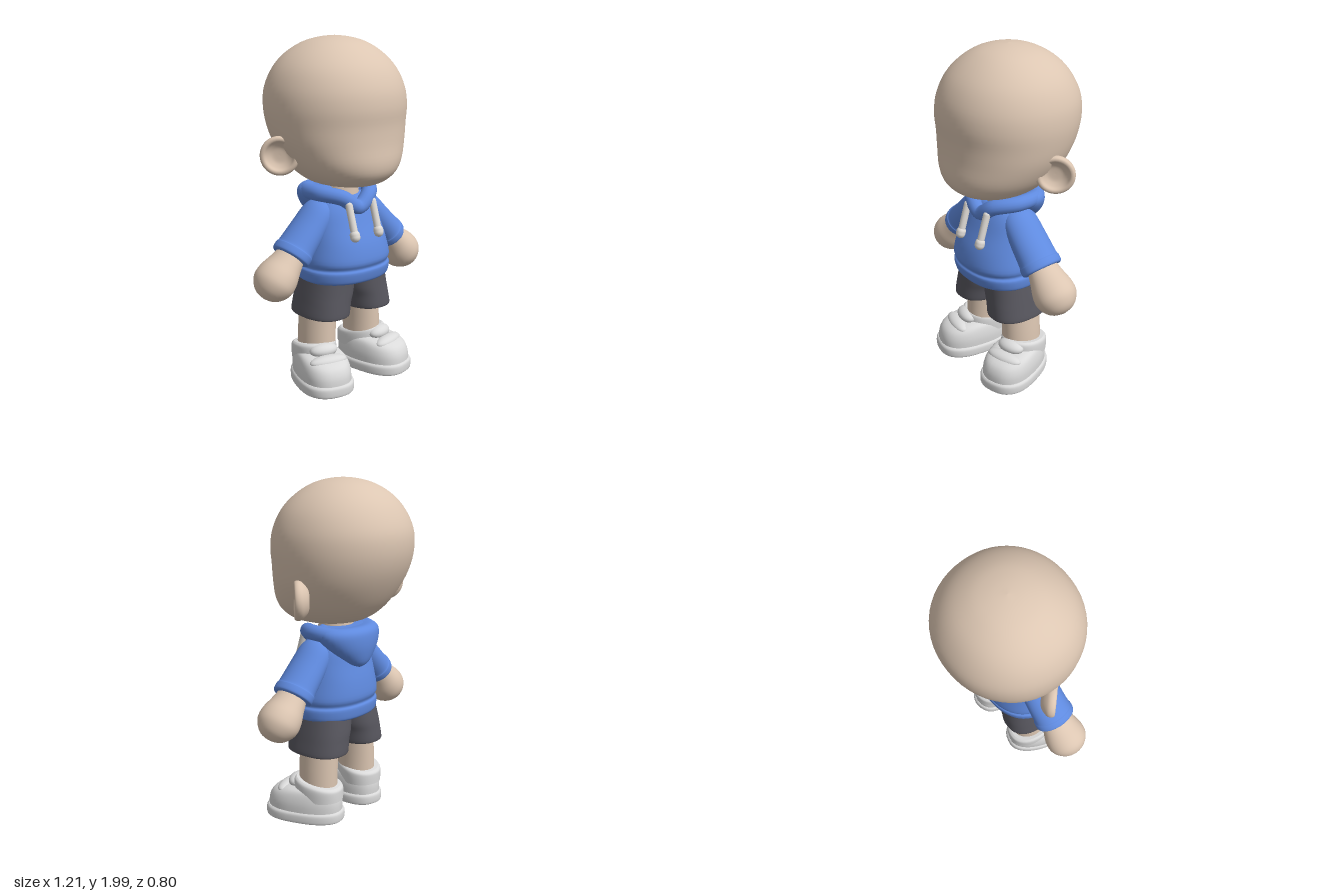
import * as THREE from 'three';

const mat = (name, color) => {
  const m = new THREE.MeshStandardMaterial({ color });
  m.name = name;
  return m;
};

// Smooth loft through rows [y, centreX, centreZ, radiusX, radiusZ, tilt];
// n squares the outline, taper widens the front (+z)
function loft(rows, { n = 2, taper = 0, seg = 40, sub = 4 } = {}) {
  rows = rows.map((r) => [...r, 0].slice(0, 6));
  const rings = [];
  const at = (i) => rows[Math.max(0, Math.min(rows.length - 1, i))];
  for (let i = 0; i < rows.length - 1; i++) {
    const [a, b, c, d] = [at(i - 1), at(i), at(i + 1), at(i + 2)];
    for (let s = 0; s < sub; s++) {
      const t = s / sub;
      rings.push(b.map((_, k) => b[k] + 0.5 * t * (c[k] - a[k]
        + t * (2 * a[k] - 5 * b[k] + 4 * c[k] - d[k] + t * (3 * (b[k] - c[k]) + d[k] - a[k])))));
    }
  }
  rings.push(at(rows.length - 1));
  const pos = [], idx = [];
  const pw = (v) => Math.sign(v) * Math.abs(v) ** (2 / n);
  const addRing = ([y, cx, cz, rx, rz, tilt]) => {
    for (let j = 0; j < seg; j++) {
      const a = (j / seg) * Math.PI * 2, c = pw(Math.cos(a)), s = pw(Math.sin(a));
      pos.push(cx + rx * c * (1 + taper * s), y + tilt * s, cz + rz * s);
    }
  };
  rings.forEach(addRing);
  for (let i = 0; i < rings.length - 1; i++) {
    for (let j = 0; j < seg; j++) {
      const a = i * seg + j, b = i * seg + (j + 1) % seg;
      idx.push(a, a + seg, b, b, a + seg, b + seg);
    }
  }
  // flat end caps with their own vertices
  [rings[0], rings[rings.length - 1]].forEach((r, e) => {
    const base = pos.length / 3;
    addRing(r);
    pos.push(r[1], r[0], r[2]);
    for (let j = 0; j < seg; j++) {
      const a = base + j, b = base + (j + 1) % seg;
      idx.push(...(e ? [b, a, base + seg] : [a, b, base + seg]));
    }
  });
  const g = new THREE.BufferGeometry();
  g.setAttribute('position', new THREE.Float32BufferAttribute(pos, 3));
  g.setIndex(idx);
  g.computeVertexNormals();
  return g;
}

export function createModel() {
  const model = new THREE.Group();
  const skin = mat('skin', 0xdcc6b2);
  const blue = mat('hoodie blue', 0x5f8adf);
  const dark = mat('shorts grey', 0x58575f);
  const white = mat('shoe white', 0xdadada);
  const cord = mat('cord white', 0xdfdbd6);

  const add = (parent, name, geo, material, x = 0, y = 0, z = 0) => {
    const m = new THREE.Mesh(geo, material);
    m.name = name;
    m.position.set(x, y, z);
    parent.add(m);
    return m;
  };
  const group = (parent, name, x, y, z) => {
    const g = new THREE.Group();
    g.name = name;
    g.position.set(x, y, z);
    parent.add(g);
    return g;
  };

  // Head and neck
  add(model, 'head', loft([
    [1.172, 0, 0.11, 0.001, 0.001], [1.178, 0, 0.11, 0.12, 0.14], [1.2, 0, 0.1, 0.205, 0.225],
    [1.25, 0, 0.088, 0.275, 0.293], [1.32, 0, 0.065, 0.33, 0.335], [1.42, 0, 0.03, 0.376, 0.364],
    [1.52, 0, 0.007, 0.398, 0.386], [1.62, 0, 0, 0.406, 0.4], [1.72, 0, -0.004, 0.393, 0.389],
    [1.82, 0, -0.005, 0.35, 0.342], [1.9, 0, -0.008, 0.28, 0.272], [1.96, 0, -0.006, 0.187, 0.182],
    [1.99, 0, -0.005, 0.09, 0.09], [2.0, 0, -0.005, 0.001, 0.001],
  ], { n: 2.08, seg: 56 }), skin);
  add(model, 'neck', new THREE.CylinderGeometry(0.1, 0.11, 0.2, 32), skin, 0, 1.13, 0.05);

  // Hoodie body with a gathered hem
  add(model, 'hoodieBody', loft([
    [0.63, 0, 0.07, 0.265, 0.215], [0.645, 0, 0.072, 0.277, 0.226], [0.695, 0, 0.075, 0.28, 0.234],
    [0.715, 0, 0.075, 0.266, 0.224], [0.755, 0, 0.075, 0.275, 0.238], [0.85, 0, 0.07, 0.256, 0.222],
    [0.95, 0, 0.06, 0.237, 0.188], [1.04, 0, 0.05, 0.215, 0.16], [1.1, 0, 0.045, 0.165, 0.13],
    [1.12, 0, 0.04, 0.1, 0.1],
  ], { n: 2.25 }), blue);

  // Hood hanging behind, and the rolled collar around the neck
  add(model, 'hood', loft([
    [0.925, 0, -0.12, 0.01, 0.01], [0.955, 0, -0.11, 0.075, 0.06], [1.03, 0, -0.075, 0.165, 0.115],
    [1.1, 0, -0.045, 0.215, 0.148], [1.145, 0, -0.035, 0.215, 0.148], [1.168, 0, -0.03, 0.18, 0.12],
    [1.165, 0, -0.02, 0.13, 0.08],
  ]), blue);
  const collar = [[0, 1.05, 0.2], [0.1, 1.112, 0.18], [0.18, 1.133, 0.07], [0.15, 1.125, -0.08],
    [0, 1.115, -0.13], [-0.15, 1.125, -0.08], [-0.18, 1.133, 0.07], [-0.1, 1.112, 0.18]];
  add(model, 'collar', new THREE.TubeGeometry(
    new THREE.CatmullRomCurve3(collar.map((p) => new THREE.Vector3(...p)), true), 80, 0.045, 16, true), blue);

  // Paired parts, built on the left and mirrored
  for (const s of [1, -1]) {
    const half = group(model, s > 0 ? 'leftSide' : 'rightSide', 0, 0, 0);
    half.scale.x = s;

    // Cupped ear turned outward and forward
    const ear = group(half, 'ear', 0.382, 1.36, -0.02);
    ear.rotation.set(0, Math.PI / 4, -0.15, 'YXZ');
    const profile = [[0.001, -0.05], [0.06, -0.045], [0.1, -0.015], [0.11, 0.01], [0.103, 0.03],
      [0.085, 0.032], [0.068, 0.015], [0.04, 0.0], [0.001, -0.003]].map((p) => new THREE.Vector2(...p));
    const cup = new THREE.LatheGeometry(new THREE.SplineCurve(profile).getPoints(32), 36);
    cup.rotateX(Math.PI / 2);
    add(ear, 'earCup', cup, skin);

    // Arm hanging outward: sleeve, cuff roll, forearm with mitten hand
    const arm = group(half, 'arm', 0.17, 1.02, 0.055);
    arm.rotation.z = 0.75;
    add(arm, 'sleeve', loft([
      [-0.31, 0, 0, 0.092, 0.115], [-0.3, 0, 0, 0.103, 0.125], [-0.265, 0, 0, 0.104, 0.126],
      [-0.245, 0, 0, 0.098, 0.12], [-0.12, 0, 0, 0.09, 0.115], [0, 0, 0, 0.083, 0.105],
      [0.06, 0, 0, 0.05, 0.07], [0.075, 0, 0, 0.01, 0.01],
    ]), blue);
    add(arm, 'hand', loft([
      [-0.582, 0, 0, 0.001, 0.001], [-0.57, 0, 0, 0.05, 0.055], [-0.54, 0, 0, 0.088, 0.095],
      [-0.49, 0, 0, 0.114, 0.123], [-0.43, 0, 0, 0.113, 0.123], [-0.36, 0, 0, 0.092, 0.105],
      [-0.29, 0, 0, 0.077, 0.09], [-0.2, 0, 0, 0.07, 0.085],
    ]), skin);

    // Shorts leg
    add(half, 'shortsLeg', loft([
      [0.42, 0.16, 0.055, 0.132, 0.182], [0.432, 0.16, 0.055, 0.14, 0.19], [0.5, 0.148, 0.055, 0.14, 0.187],
      [0.56, 0.132, 0.055, 0.145, 0.184], [0.66, 0.115, 0.06, 0.142, 0.175],
    ], { n: 2.35 }), dark);

    // Bare leg
    add(half, 'leg', loft([
      [0.15, 0.18, 0.04, 0.104, 0.122], [0.3, 0.176, 0.04, 0.102, 0.122], [0.46, 0.165, 0.04, 0.1, 0.122],
    ]), skin);

    // Shoe with the toe turned out
    const shoe = group(half, 'shoe', 0.21, 0, 0.11);
    shoe.rotation.y = 0.25;
    add(shoe, 'sole', loft([
      [0.01, 0, 0, 0.145, 0.232], [0.02, 0, 0, 0.153, 0.24], [0.06, 0, 0, 0.153, 0.24], [0.075, 0, 0, 0.142, 0.23],
    ], { n: 2.5, taper: 0.13 }), white);
    add(shoe, 'shoeUpper', loft([
      [0.06, 0, 0, 0.142, 0.228], [0.12, 0, -0.003, 0.143, 0.226], [0.17, 0, -0.012, 0.134, 0.208],
      [0.2, 0, -0.035, 0.118, 0.17], [0.215, 0, -0.06, 0.09, 0.12],
    ], { n: 2.4, taper: 0.12 }), white);
    add(shoe, 'ankleCollar', loft([
      [0.14, 0, -0.085, 0.122, 0.148], [0.2, 0, -0.085, 0.125, 0.148, 0.015],
      [0.232, 0, -0.085, 0.122, 0.145, 0.025], [0.245, 0, -0.085, 0.11, 0.13, 0.025],
    ], { n: 2.2 }), white);
    const tongue = add(shoe, 'tongue', new THREE.SphereGeometry(1, 24, 16), white, 0, 0.228, 0.045);
    tongue.scale.set(0.085, 0.042, 0.055);
    const strap = add(shoe, 'strap', new THREE.SphereGeometry(1, 24, 16), white, 0, 0.185, 0.11);
    strap.scale.set(0.115, 0.035, 0.05);

    // Drawstring with a knotted end
    const string = group(half, 'drawstring', 0.09, 0.99, 0.25);
    string.rotation.x = -0.3;
    add(string, 'cord', new THREE.CapsuleGeometry(0.021, 0.18, 6, 16), cord);
    add(string, 'knot', new THREE.CapsuleGeometry(0.029, 0.012, 6, 16), cord, 0, -0.085, 0);
  }
  return model;
}
